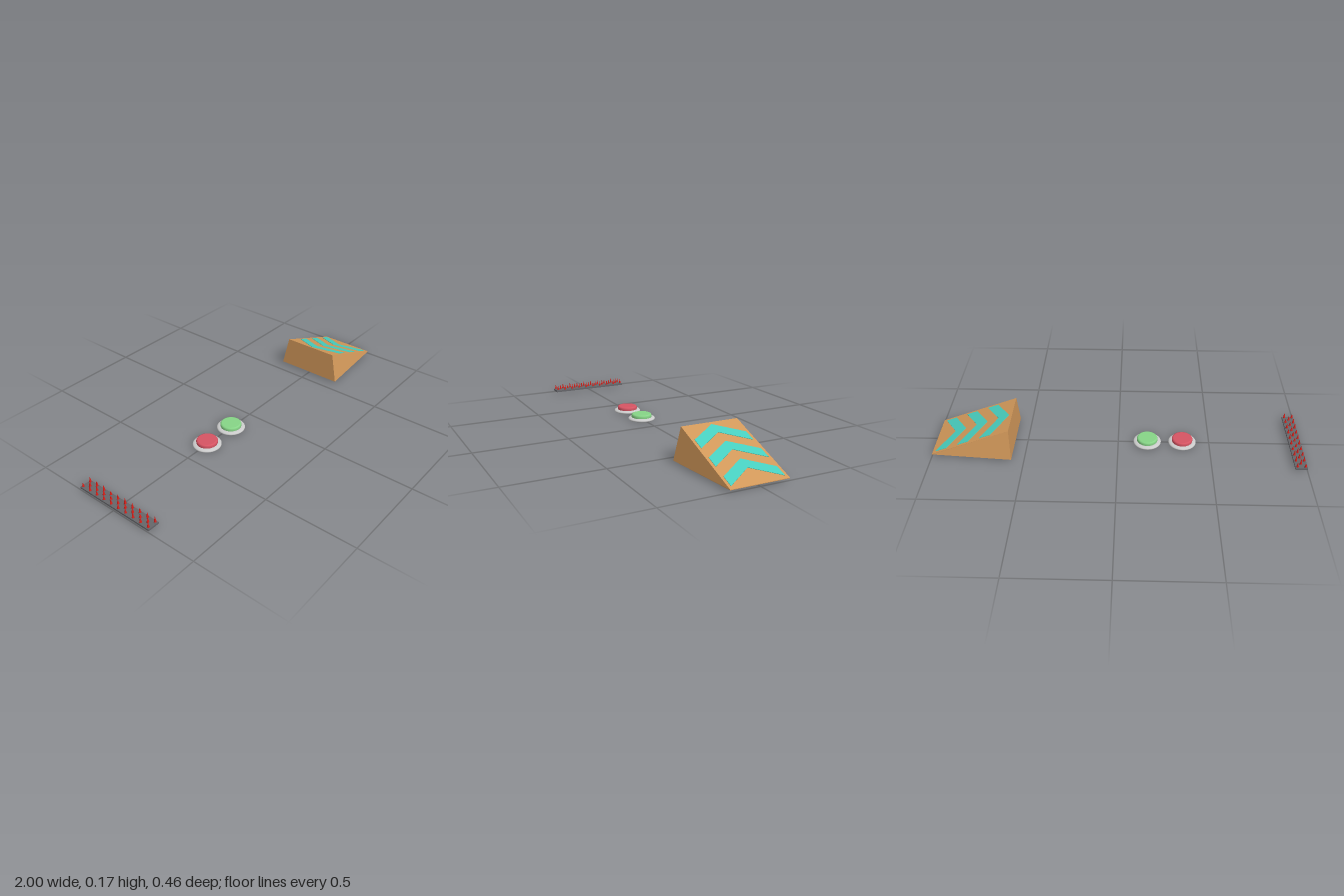
import * as THREE from 'three';

const paint = (color, flatShading = false) => new THREE.MeshStandardMaterial({ color, flatShading });

function add(parent, name, geometry, material, x = 0, y = 0, z = 0) {
  const mesh = new THREE.Mesh(geometry, material);
  mesh.name = name;
  mesh.position.set(x, y, z);
  parent.add(mesh);
  return mesh;
}

function group(parent, name, x = 0, y = 0, z = 0) {
  const g = new THREE.Group();
  g.name = name;
  g.position.set(x, y, z);
  parent.add(g);
  return g;
}

// Wedge with a sloping deck, flared at the tall end, and raised chevrons
function buildRamp(parent) {
  const ramp = group(parent, 'ramp');
  const tall = 0.567, crest = 0.574, tip = 1.0, base = 0.01, top = 0.174, lip = 0.013;

  const body = new THREE.BoxGeometry(1, 1, 1).toNonIndexed();
  const p = body.attributes.position;
  for (let i = 0; i < p.count; i++) {
    const high = p.getX(i) < 0, upper = p.getY(i) > 0;
    const x = high ? (upper ? crest : tall) : tip;
    const y = upper ? (high ? top : lip) : base;
    const z = Math.sign(p.getZ(i)) * (high && !upper ? 0.19 : 0.155);
    p.setXYZ(i, x, y, z);
  }
  body.computeVertexNormals();
  add(ramp, 'rampBody', body, paint(0xd2985a, true));

  // Chevrons lie on the deck, pointing uphill
  const deck = group(ramp, 'chevrons', crest, top, 0);
  deck.rotation.z = -Math.atan2(top - lip, tip - crest);
  const half = 0.14, sweep = 0.091, band = 0.064;
  const shape = new THREE.Shape([
    [0, 0], [sweep, -half], [sweep + band, -half],
    [band, 0], [sweep + band, half], [sweep, half],
  ].map(([x, y]) => new THREE.Vector2(x, y)));
  const geometry = new THREE.ExtrudeGeometry(shape, { depth: 0.003, bevelEnabled: false });
  const teal = paint(0x48cfbf, true);
  for (let i = 0; i < 3; i++) {
    const chevron = add(deck, 'chevron', geometry, teal, 0.018 + i * 0.132, -0.001, 0);
    chevron.rotation.x = -Math.PI / 2;
  }
}

const lathe = (points) =>
  new THREE.LatheGeometry(points.map(([r, y]) => new THREE.Vector2(r, y)), 40);

// Round push button seated in a grey rim
function buildButton(parent, name, x, color) {
  const button = group(parent, name, x, 0, 0);
  const rim = lathe([
    [0.054, 0.014], [0.054, 0.001], [0.056, 0], [0.072, 0], [0.0755, 0.003],
    [0.0755, 0.007], [0.072, 0.011], [0.063, 0.014], [0.054, 0.014],
  ]);
  add(button, 'rim', rim, paint(0xbdbdbd));
  const cap = lathe([
    [0, 0.006], [0.0555, 0.006], [0.0555, 0.006], [0.0565, 0.018], [0.0565, 0.026],
    [0.054, 0.031], [0.049, 0.033], [0.049, 0.033], [0, 0.033],
  ]);
  add(button, 'cap', cap, paint(color));
}

// Strip with three staggered rows of spikes, each on a small collar
function buildSpikeStrip(parent) {
  const strip = group(parent, 'spikeStrip', -0.968, 0, 0);
  const grey = paint(0x66666a, true), red = paint(0xd8201a, true);
  add(strip, 'stripBase', new THREE.BoxGeometry(0.064, 0.01, 0.462), grey, 0, 0.014, 0);

  let seed = 7;
  const random = () => (seed = (seed * 16807) % 2147483647) / 2147483647;
  const cone = new THREE.ConeGeometry(0.0068, 1, 8);
  const collar = new THREE.CylinderGeometry(0.008, 0.0095, 0.004, 8);
  const pitch = 0.44 / 9;
  for (const row of [-1, 0, 1]) {
    const count = row === 0 ? 9 : 10;
    for (let i = 0; i < count; i++) {
      const z = (i - (count - 1) / 2) * pitch, x = row * 0.0215;
      const height = 0.024 + 0.012 * random();
      add(strip, 'collar', collar, grey, x, 0.0195, z);
      add(strip, 'spike', cone, red, x, 0.02 + height / 2, z).scale.y = height;
    }
  }
}

export function createModel() {
  const model = new THREE.Group();
  model.name = 'obstacleSet';
  buildRamp(model);
  buildButton(model, 'redButton', -0.352, 0xd65463);
  buildButton(model, 'greenButton', -0.16, 0x86d486);
  buildSpikeStrip(model);
  return model;
}
